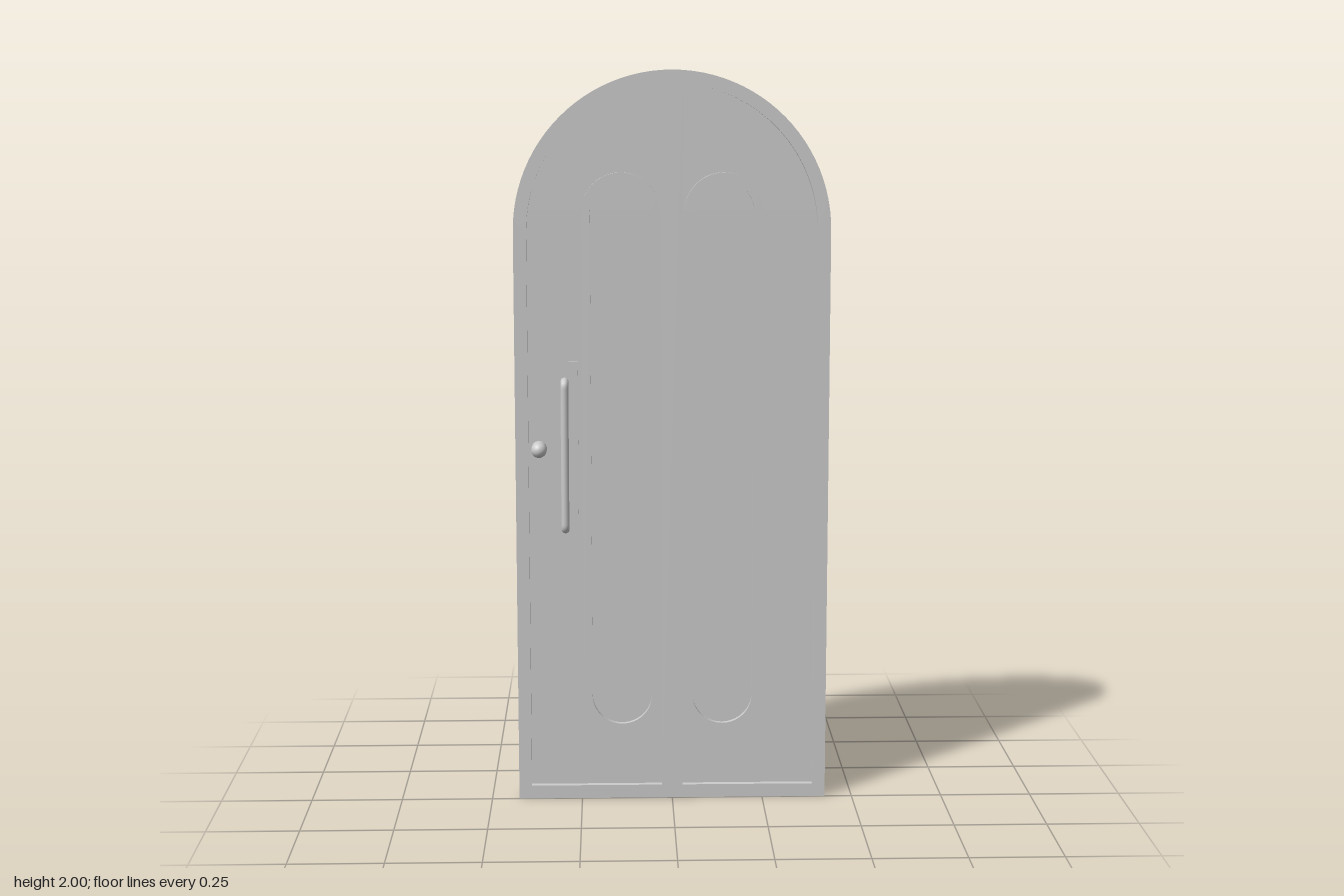
import * as THREE from 'three';
import { toCreasedNormals } from 'three/addons/utils/BufferGeometryUtils.js';

const HALF = 0.425, SPRING = 1.575; // arch half width and height of its centre
const BACK = -0.035, PANEL = -0.017; // depth of the back and of the sunken leaves
const material = new THREE.MeshStandardMaterial({ color: 0xcccccc });

function add(group, name, geometry, x = 0, y = 0, z = 0) {
  const mesh = new THREE.Mesh(geometry, material);
  mesh.name = name;
  mesh.position.set(x, y, z);
  group.add(mesh);
  return mesh;
}

function extrude(shape, depth) {
  const geometry = new THREE.ExtrudeGeometry(shape, { depth, bevelEnabled: false, curveSegments: 24 });
  return toCreasedNormals(geometry, 0.6);
}

// Full arched outline of the door
function archShape() {
  const s = new THREE.Shape();
  s.moveTo(-HALF, 0);
  s.lineTo(HALF, 0);
  s.lineTo(HALF, SPRING);
  s.absarc(0, SPRING, HALF, 0, Math.PI, false);
  s.closePath();
  return s;
}

// Opening of one leaf, side = 1 or -1
function leafOpening(side) {
  const r = 0.39, inner = 0.028, bottom = 0.037;
  const end = Math.acos(inner / r);
  const points = [new THREE.Vector2(side * inner, bottom), new THREE.Vector2(side * r, bottom)];
  for (let i = 0; i <= 16; i++) {
    const a = (end * i) / 16;
    points.push(new THREE.Vector2(side * r * Math.cos(a), SPRING + r * Math.sin(a)));
  }
  return new THREE.Path(points);
}

// Upright oval with straight sides, centred on the origin
function oval(Type, halfWidth, halfHeight) {
  const c = halfHeight - halfWidth;
  const s = new Type();
  s.moveTo(halfWidth, -c);
  s.lineTo(halfWidth, c);
  s.absarc(0, c, halfWidth, 0, Math.PI, false);
  s.lineTo(-halfWidth, -c);
  s.absarc(0, -c, halfWidth, Math.PI, Math.PI * 2, false);
  return s;
}

export function createModel() {
  const door = new THREE.Group();
  door.name = 'archedDoor';

  // Solid back slab and the raised frame with two leaf openings
  add(door, 'doorSlab', extrude(archShape(), PANEL - BACK), 0, 0, BACK);
  const frame = archShape();
  frame.holes.push(leafOpening(1), leafOpening(-1));
  add(door, 'doorFrame', extrude(frame, -PANEL), 0, 0, PANEL);

  // Raised oval moulding on each leaf
  const ring = oval(THREE.Shape, 0.105, 0.77);
  ring.holes.push(oval(THREE.Path, 0.082, 0.747));
  const ringGeometry = extrude(ring, 0.014);
  for (const side of [1, -1]) {
    add(door, side > 0 ? 'leftMoulding' : 'rightMoulding', ringGeometry, side * 0.138, 0.96, PANEL);
  }

  // Pull handle on its plate
  const handle = new THREE.Group();
  handle.name = 'pullHandle';
  handle.position.set(-0.291, 0.966, PANEL);
  add(handle, 'handlePlate', new THREE.BoxGeometry(0.072, 0.515, 0.006), 0, 0, 0.003);
  const path = new THREE.CurvePath();
  const v = (y, z) => new THREE.Vector3(0, y, z);
  const h = 0.203, out = 0.026, bend = 0.016;
  path.add(new THREE.LineCurve3(v(-h, 0), v(-h, out - bend)));
  path.add(new THREE.QuadraticBezierCurve3(v(-h, out - bend), v(-h, out), v(-h + bend, out)));
  path.add(new THREE.LineCurve3(v(-h + bend, out), v(h - bend, out)));
  path.add(new THREE.QuadraticBezierCurve3(v(h - bend, out), v(h, out), v(h, out - bend)));
  path.add(new THREE.LineCurve3(v(h, out - bend), v(h, 0)));
  add(handle, 'handleBar', new THREE.TubeGeometry(path, 120, 0.011, 14, false));
  door.add(handle);

  // Round knob: short shank closed by a dome
  const profile = [new THREE.Vector2(0.021, 0)];
  for (let i = 0; i <= 10; i++) {
    const a = (i / 10) * Math.PI / 2;
    profile.push(new THREE.Vector2(0.021 * Math.cos(a), 0.028 + 0.021 * Math.sin(a)));
  }
  const knob = add(door, 'knob', new THREE.LatheGeometry(profile, 24), -0.361, 0.985, PANEL);
  knob.rotation.x = Math.PI / 2;

  return door;
}
